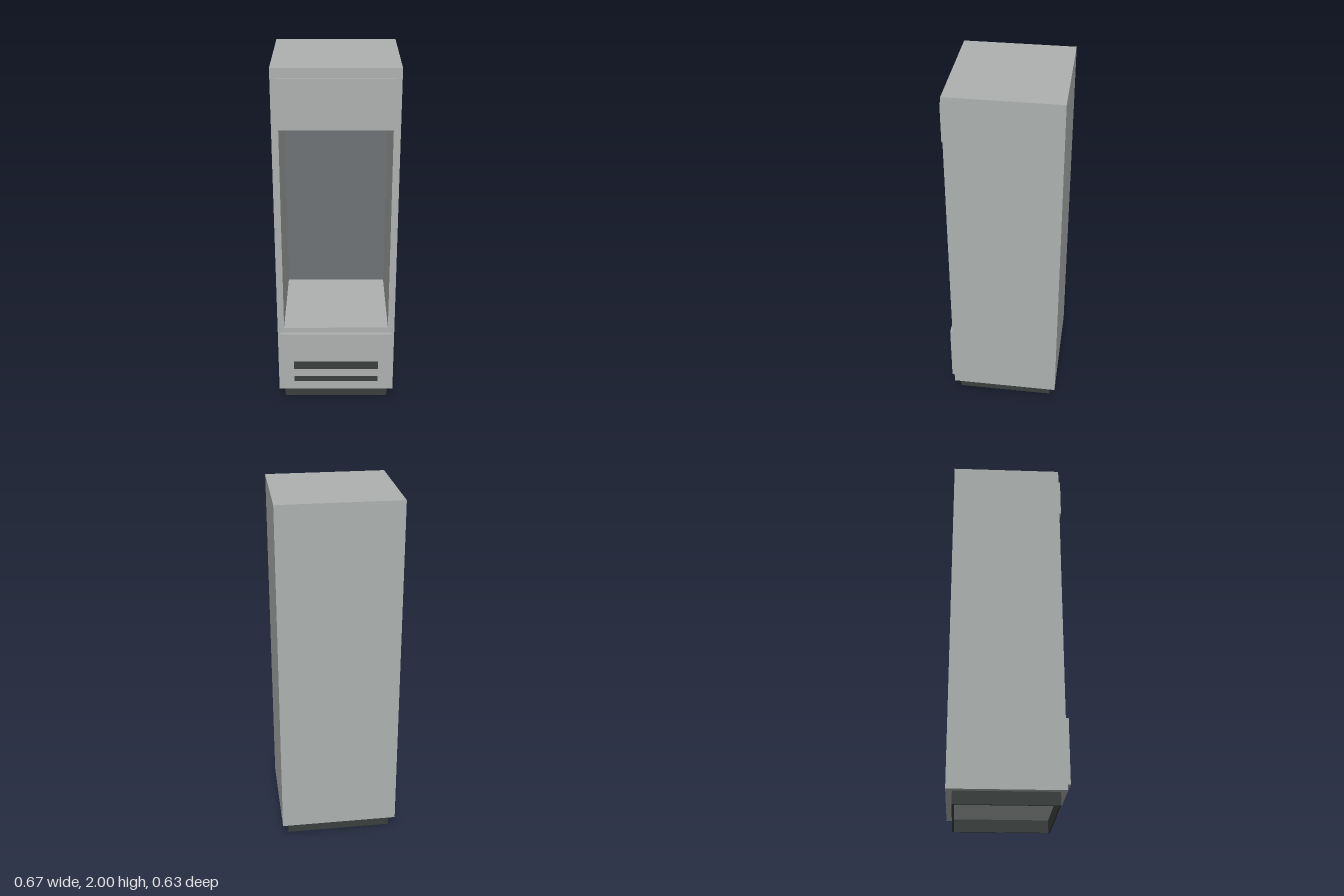
import * as THREE from 'three';

export function createModel() {
  const model = new THREE.Group();
  model.name = 'ovenTowerCabinet';

  const material = (name, color) => {
    const m = new THREE.MeshStandardMaterial({ color });
    m.name = name;
    return m;
  };
  const bodyGrey = material('bodyGrey', 0xadb1b0);
  const recessGrey = material('recessGrey', 0x6e7275);
  const plinthDark = material('plinthDark', 0x3a403f);

  const add = (parent, name, geometry, mat) => {
    const mesh = new THREE.Mesh(geometry, mat);
    mesh.name = name;
    parent.add(mesh);
    return mesh;
  };
  // Box given by its limits on each axis
  const box = (parent, name, mat, [x0, x1], [y0, y1], [z0, z1]) => {
    const mesh = add(parent, name, new THREE.BoxGeometry(x1 - x0, y1 - y0, z1 - z0), mat);
    mesh.position.set((x0 + x1) / 2, (y0 + y1) / 2, (z0 + z1) / 2);
    return mesh;
  };
  const rectangle = (Type, w, y0, y1) => new Type([
    new THREE.Vector2(-w, y0), new THREE.Vector2(w, y0),
    new THREE.Vector2(w, y1), new THREE.Vector2(-w, y1),
  ]);

  const back = -0.322, front = 0.289, cavityBack = -0.28;

  // Carcass: a tall frame around the appliance opening, closed by a back slab
  const frame = rectangle(THREE.Shape, 0.333, 0.07, 2);
  frame.holes.push(rectangle(THREE.Path, 0.296, 0.49, 1.675));
  const carcass = new THREE.ExtrudeGeometry(frame, { depth: front - cavityBack, bevelEnabled: false });
  carcass.translate(0, 0, cavityBack);
  add(model, 'carcass', carcass, bodyGrey);
  box(model, 'carcassBack', bodyGrey, [-0.333, 0.333], [0.07, 2], [back, cavityBack]);
  box(model, 'openingBackPanel', recessGrey, [-0.296, 0.296], [0.49, 1.675], [cavityBack, cavityBack + 0.004]);

  // Upper flap and lower drawer front
  box(model, 'upperFlap', bodyGrey, [-0.3, 0.3], [1.73, 1.947], [front, 0.302]);
  box(model, 'lowerDrawerFront', bodyGrey, [-0.317, 0.317], [0.105, 0.457], [front, 0.306]);

  // Two dark ventilation slots with the slat left between them
  const vent = new THREE.Group();
  vent.name = 'ventGrille';
  model.add(vent);
  for (const [name, y] of [['upperSlot', [0.222, 0.272]], ['lowerSlot', [0.137, 0.17]]]) {
    box(vent, name, plinthDark, [-0.243, 0.243], y, [0.303, 0.3075]);
  }
  box(vent, 'slat', bodyGrey, [-0.243, 0.243], [0.17, 0.222], [0.303, 0.3075]);

  // Recessed plinth, a hollow ring of boards
  const plinth = new THREE.Group();
  plinth.name = 'plinth';
  model.add(plinth);
  const height = [0, 0.07], t = 0.01;
  box(plinth, 'plinthFront', plinthDark, [-0.3, 0.3], height, [0.258 - t, 0.258]);
  box(plinth, 'plinthBack', plinthDark, [-0.3, 0.3], height, [-0.289, -0.289 + t]);
  for (const [name, x] of [['plinthLeft', [0.3 - t, 0.3]], ['plinthRight', [-0.3, -0.3 + t]]]) {
    box(plinth, name, plinthDark, x, height, [-0.289 + t, 0.258 - t]);
  }

  return model;
}
